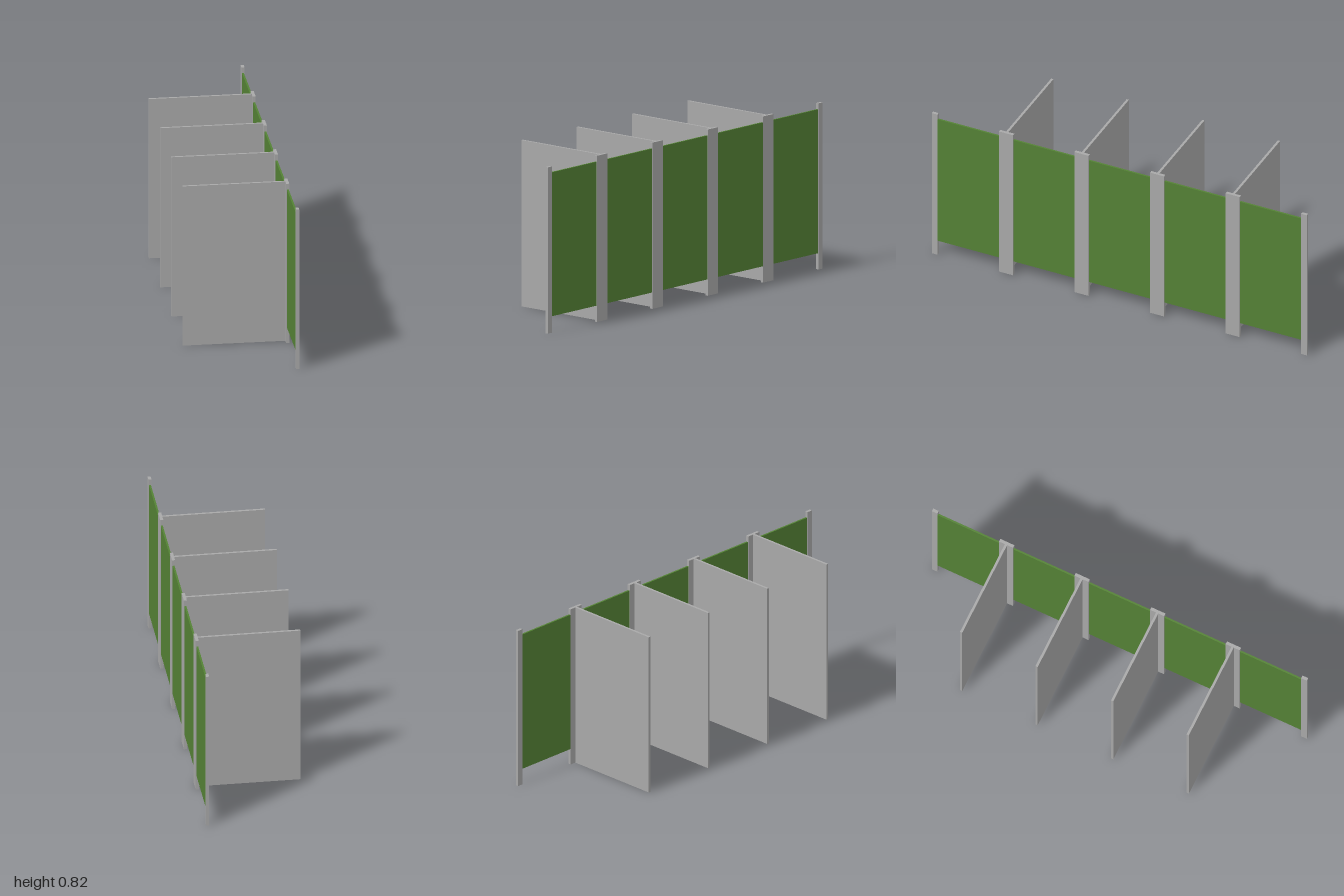
import * as THREE from 'three';

const HEIGHT = 0.817;
const POST_X = 0.249;
const POST_DEPTH = 0.015;
const POST_WIDTH = 0.075;
const END_WIDTH = 0.03;
const SCREEN_WIDTH = (2 - 2 * END_WIDTH - 4 * POST_WIDTH) / 5;

export function createModel() {
  const model = new THREE.Group();
  model.name = 'partitionWall';
  const grey = new THREE.MeshStandardMaterial({ name: 'grey', color: 0xa9a9a9 });
  const green = new THREE.MeshStandardMaterial({ name: 'green', color: 0x548235 });

  // Box given by its size and centre
  function box(name, material, size, centre) {
    const mesh = new THREE.Mesh(new THREE.BoxGeometry(...size), material);
    mesh.name = name;
    mesh.position.set(...centre);
    model.add(mesh);
  }

  // Narrow posts at both ends of the row
  for (const side of [1, -1]) {
    box('endPost', grey, [POST_DEPTH, HEIGHT, END_WIDTH], [POST_X, HEIGHT / 2, side * (1 - END_WIDTH / 2)]);
  }

  const pitch = SCREEN_WIDTH + POST_WIDTH;

  // Wide posts, each carrying a divider that runs towards -x
  const postBack = POST_X - POST_DEPTH / 2;
  const dividerLength = postBack + 0.2565;
  for (let i = 0; i < 4; i++) {
    const z = (1.5 - i) * pitch;
    box('post', grey, [POST_DEPTH, HEIGHT, POST_WIDTH], [POST_X, HEIGHT / 2, z]);
    box('divider', grey, [dividerLength, HEIGHT, 0.012], [postBack - dividerLength / 2, HEIGHT / 2, z]);
  }

  // Green screens between the posts, raised off the ground
  const bottom = 0.08, top = 0.787;
  for (let i = 0; i < 5; i++) {
    box('screen', green, [0.009, top - bottom, SCREEN_WIDTH], [POST_X, (top + bottom) / 2, (2 - i) * pitch]);
  }

  return model;
}
